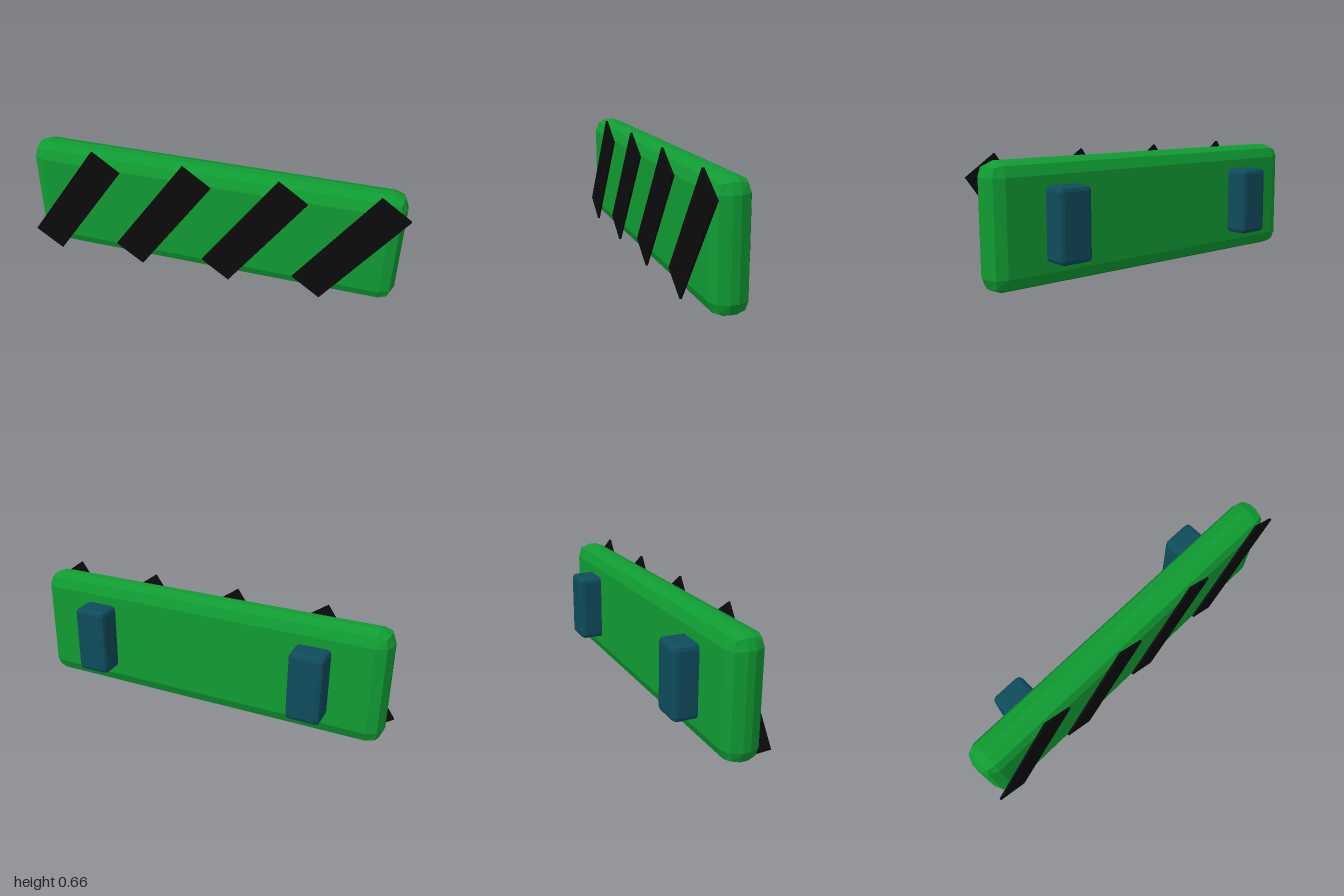
import * as THREE from 'three';
import { RoundedBoxGeometry } from 'three/addons/geometries/RoundedBoxGeometry.js';

function material(name, color, flatShading = true) {
  const m = new THREE.MeshStandardMaterial({ color, flatShading });
  m.name = name;
  return m;
}

export function createModel() {
  const group = new THREE.Group();
  group.name = 'stripedBarrier';
  const green = material('green', 0x109c33);
  const teal = material('darkTeal', 0x0f4c5c);
  const black = material('black', 0x0b0b0b);

  const add = (name, geometry, mat, x, y, z) => {
    const mesh = new THREE.Mesh(geometry, mat);
    mesh.name = name;
    mesh.position.set(x, y, z);
    group.add(mesh);
    return mesh;
  };

  // Main panel with two-step rounded edges
  add('panel', new RoundedBoxGeometry(1.956, 0.61, 0.185, 1, 0.073), green, 0, 0.33, 0.0555);

  // Mounting blocks on the back, sunk into the panel
  const block = new RoundedBoxGeometry(0.18, 0.366, 0.18, 1, 0.023);
  for (const side of [-1, 1]) {
    add(side > 0 ? 'leftMount' : 'rightMount', block, teal, side * 0.61, 0.33, -0.068);
  }

  // Slanted stripes across the front, overhanging the panel
  const stripe = new THREE.BoxGeometry(0.181, 0.679, 0.0115);
  for (let i = 0; i < 4; i++) {
    const mesh = add('stripe' + (i + 1), stripe, black, (i - 1.5) * 0.489, 0.33, 0.1545);
    mesh.rotation.z = -THREE.MathUtils.degToRad(35);
  }

  return group;
}
